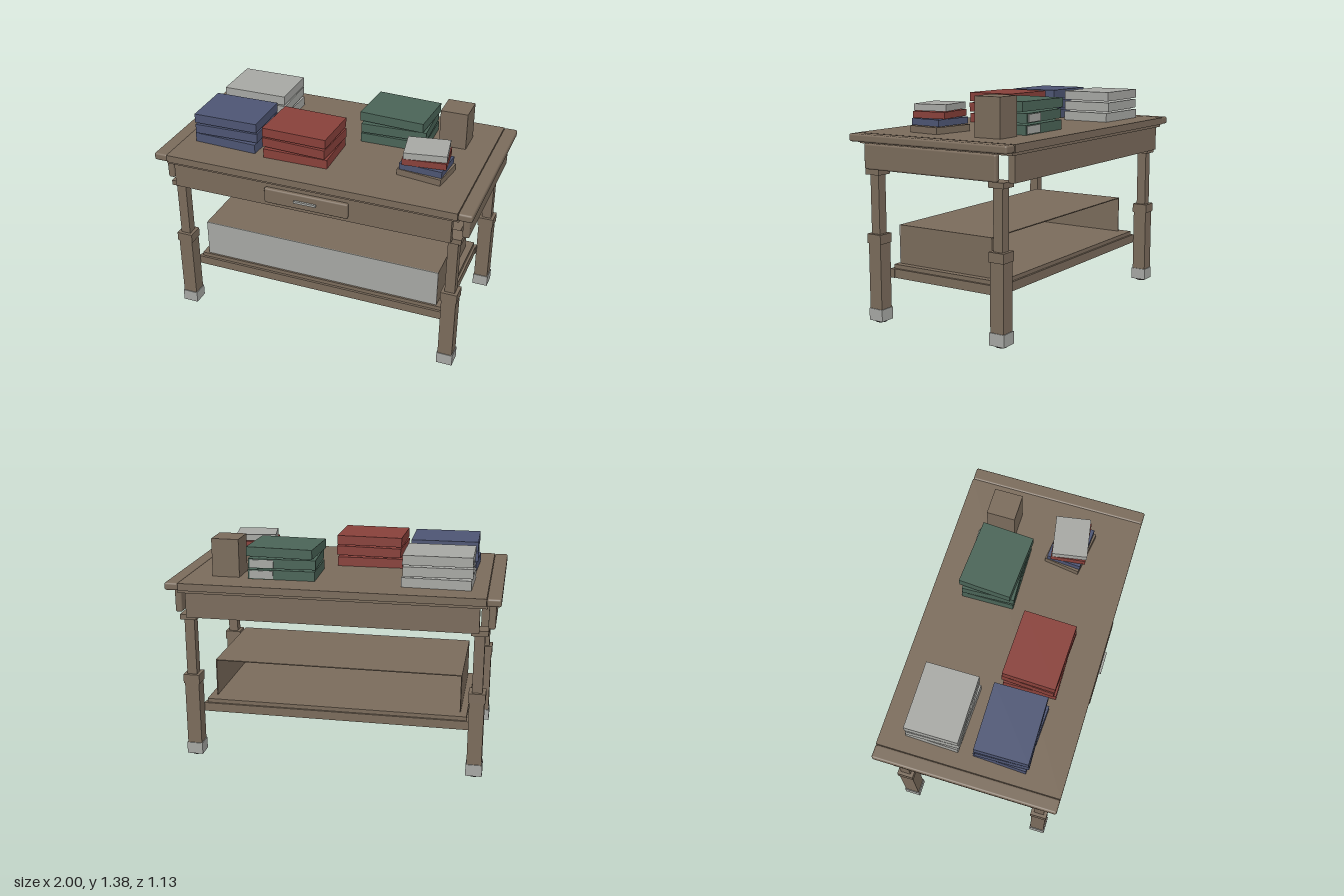
import * as THREE from 'three';
import { RoundedBoxGeometry } from 'three/addons/geometries/RoundedBoxGeometry.js';

export function createModel() {
  const mat = (name, color) => {
    const m = new THREE.MeshStandardMaterial({ color });
    m.name = name;
    return m;
  };
  const wood = mat('wood', 0x7a6b5b);
  const grey = mat('paleGrey', 0xa6a7a3);
  const red = mat('red', 0x88403a);
  const blue = mat('blue', 0x4d5573);
  const green = mat('green', 0x4a6457);
  const dark = mat('darkPeg', 0x2e2c2a);

  const model = new THREE.Group();
  model.name = 'worktable';

  // Boxes are given by their ranges: [x0, x1], [y0, y1], [z0, z1]
  function block(name, material, [x0, x1], [y0, y1], [z0, z1], radius = 0, parent = model) {
    const size = [x1 - x0, y1 - y0, z1 - z0];
    const geo = radius ? new RoundedBoxGeometry(...size, 2, radius) : new THREE.BoxGeometry(...size);
    const mesh = new THREE.Mesh(geo, material);
    mesh.name = name;
    mesh.position.set((x0 + x1) / 2, (y0 + y1) / 2, (z0 + z1) / 2);
    parent.add(mesh);
    return mesh;
  }

  // Table top with moulding and rounded end boards
  block('tableTop', wood, [-0.915, 0.915], [1.105, 1.15], [-0.565, 0.55]);
  block('topMoulding', wood, [-0.922, 0.922], [1.087, 1.105], [-0.55, 0.535]);
  for (const s of [-1, 1]) {
    const range = (a, b) => (s > 0 ? [a, b] : [-b, -a]);
    block('endBoard', wood, range(0.916, 1), [1.104, 1.151], [-0.565, 0.55], 0.012);
    block('sideApron', wood, range(0.928, 0.97), [0.942, 1.095], [-0.475, 0.463], 0.012);
    block('shelfEndRail', wood, range(0.8, 0.835), [0.27, 0.325], [-0.373, 0.36]);
  }
  block('frontApron', wood, [-0.88, 0.88], [0.932, 1.087], [0.485, 0.525]);
  block('backApron', wood, [-0.88, 0.88], [0.932, 1.087], [-0.538, -0.498]);

  // Drawer front and pull
  block('drawerFront', wood, [-0.265, 0.265], [0.963, 1.062], [0.523, 0.553], 0.01);
  block('drawerPull', grey, [-0.07, 0.07], [1.007, 1.021], [0.55, 0.566]);

  // Stepped legs: [name, material, half width, bottom, top]
  const legParts = [
    ['legFoot', grey, 0.05, 0.011, 0.085],
    ['lowerLeg', wood, 0.045, 0.085, 0.488],
    ['legCollar', wood, 0.051, 0.488, 0.546],
    ['upperLeg', wood, 0.031, 0.546, 0.905],
    ['legCap', wood, 0.051, 0.905, 0.938],
  ];
  for (const x of [-0.882, 0.882]) {
    for (const z of [-0.449, 0.435]) {
      const leg = new THREE.Group();
      leg.name = 'leg';
      leg.position.set(x, 0, z);
      for (const [name, material, h, y0, y1] of legParts) {
        block(name, material, [-h, h], [y0, y1], [-h, h], 0, leg);
      }
      const peg = new THREE.Mesh(new THREE.CylinderGeometry(0.035, 0.035, 0.012, 16), dark);
      peg.name = 'footPeg';
      peg.position.y = 0.006;
      leg.add(peg);
      model.add(leg);
    }
  }

  // Lower shelf with rails
  block('shelf', wood, [-0.82, 0.82], [0.325, 0.35], [-0.39, 0.375]);
  block('shelfFrontRail', wood, [-0.84, 0.84], [0.27, 0.325], [0.36, 0.39]);
  block('shelfBackRail', wood, [-0.84, 0.84], [0.27, 0.325], [-0.403, -0.373]);

  // Cabinet on the shelf, open at the back
  block('cabinetTop', wood, [-0.78, 0.78], [0.582, 0.588], [-0.315, 0.357]);
  for (const x of [-0.777, 0.777]) {
    block('cabinetEnd', wood, [x - 0.003, x + 0.003], [0.35, 0.582], [-0.315, 0.357]);
  }
  block('cabinetFront', grey, [-0.78, 0.78], [0.35, 0.588], [0.357, 0.363]);

  // One slightly turned book
  function book(name, material, [w, h, d], x, y, z, degrees, parent) {
    const mesh = new THREE.Mesh(new THREE.BoxGeometry(w, h, d), material);
    mesh.name = name;
    mesh.position.set(x, y + h / 2, z);
    mesh.rotation.y = THREE.MathUtils.degToRad(degrees);
    parent.add(mesh);
    return mesh;
  }

  // Large stacks of three: [name, material, x, z, turns from bottom to top]
  const stacks = [
    ['blueStack', blue, -0.62, 0.166, [-2.5, 1.8, 0.8]],
    ['redStack', red, -0.15, 0.193, [0.8, -3, -1.5]],
    ['greenStack', green, 0.327, -0.219, [1, 2.5, -3.3]],
    ['greyStack', grey, -0.617, -0.248, [-1.5, 1.5, 0.5]],
  ];
  for (const [name, material, x, z, turns] of stacks) {
    const stack = new THREE.Group();
    stack.name = name;
    turns.forEach((turn, i) => {
      const b = book('book', material, [0.412, 0.058, 0.322], x, 1.151 + i * 0.068, z, turn, stack);
      // Pale labels on the backs of the lower green books
      if (material === green && i < 2) {
        block('bookLabel', grey, [0.05, 0.195], [-0.024, 0.024], [-0.166, -0.16], 0, b);
      }
    });
    model.add(stack);
  }

  // Small mixed pile
  const pile = new THREE.Group();
  pile.name = 'smallPile';
  [
    [wood, 0.28, 0.222, -8],
    [blue, 0.265, 0.212, -4],
    [red, 0.262, 0.212, 7],
    [grey, 0.255, 0.212, 10],
  ].forEach(([material, w, d, turn], i) => {
    book('smallBook', material, [w, 0.04, d], 0.617, 1.15 + i * 0.044, 0.168, turn, pile);
  });
  model.add(pile);

  // Upright block at the back corner
  block('uprightBox', wood, [0.59, 0.76], [1.15, 1.385], [-0.362, -0.187]);

  return model;
}
